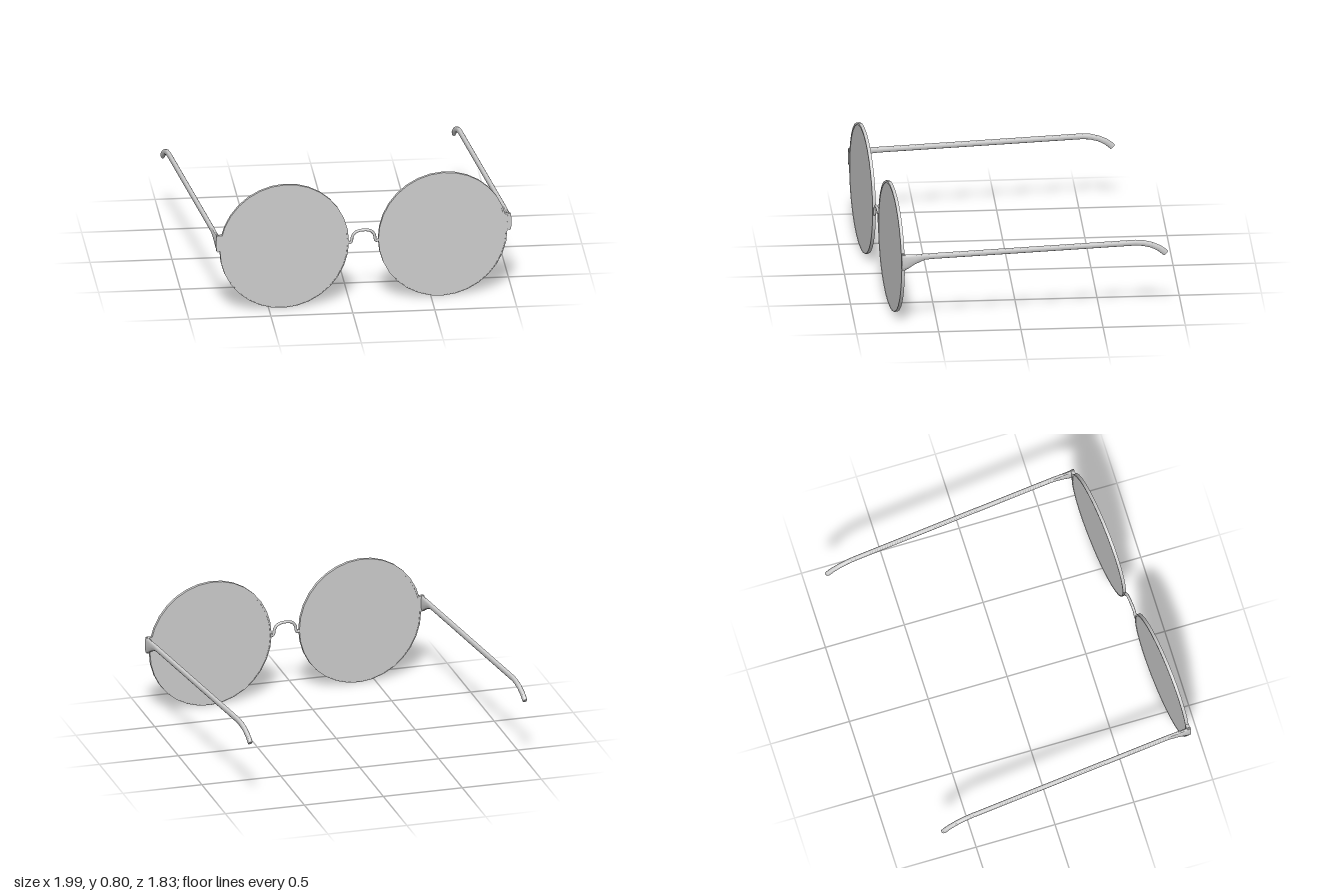
import * as THREE from 'three';
import { toCreasedNormals } from 'three/addons/utils/BufferGeometryUtils.js';

const material = new THREE.MeshStandardMaterial({ color: 0xcccccc });

function add(parent, name, geometry, x = 0, y = 0, z = 0) {
  const mesh = new THREE.Mesh(geometry, material);
  mesh.name = name;
  mesh.position.set(x, y, z);
  parent.add(mesh);
  return mesh;
}

// Flat plate of a given thickness, centred on z = 0
function plate(shape, depth) {
  const g = new THREE.ExtrudeGeometry(shape, { depth, bevelEnabled: false, curveSegments: 16 });
  g.translate(0, 0, -depth / 2);
  return toCreasedNormals(g, 0.6);
}

function circle(Type, radius, y) {
  return new Type().absarc(0, y, radius, 0, Math.PI * 2, false);
}

// Rounded sections swept backwards: each is [z, y, half height, half width, tilt]
function loft(sections, sides = 12) {
  const pos = [], index = [];
  for (const [z, y, h, w, tilt] of sections) {
    for (let i = 0; i < sides; i++) {
      const a = (i / sides) * Math.PI * 2;
      const c = Math.cos(a), s = Math.sin(a);
      const u = Math.sign(c) * Math.abs(c) ** 0.75 * w;
      const v = Math.sign(s) * Math.abs(s) ** 0.75 * h;
      pos.push(u, y + v * Math.cos(tilt), z - v * Math.sin(tilt));
    }
  }
  const last = (sections.length - 1) * sides;
  for (let r = 0; r < sections.length - 1; r++) {
    for (let i = 0; i < sides; i++) {
      const a = r * sides + i, b = r * sides + (i + 1) % sides;
      index.push(a, b, a + sides, b, b + sides, a + sides);
    }
  }
  for (let i = 1; i < sides - 1; i++) {
    index.push(0, i, i + 1);
    index.push(last, last + i + 1, last + i);
  }
  // the sections run towards -z, so the winding is turned outwards here
  for (let i = 0; i < index.length; i += 3) {
    const viaSide = i < (sections.length - 1) * sides * 6;
    if (viaSide) [index[i + 1], index[i + 2]] = [index[i + 2], index[i + 1]];
  }
  const g = new THREE.BufferGeometry();
  g.setAttribute('position', new THREE.Float32BufferAttribute(pos, 3));
  g.setIndex(index);
  return toCreasedNormals(g, 0.9);
}

export function createModel() {
  const model = new THREE.Group();
  model.name = 'spectacles';
  const frame = new THREE.Group();
  frame.name = 'frame';
  frame.position.set(0.084, 0, 0.808);
  frame.rotation.y = 0.106;
  model.add(frame);

  // Rim: thicker along the top, thinning towards the bottom
  const rimShape = circle(THREE.Shape, 0.4, 0);
  rimShape.holes.push(circle(THREE.Path, 0.392, -0.006));
  const rim = plate(rimShape, 0.02);
  const lens = plate(circle(THREE.Shape, 0.392, -0.006), 0.014);

  // Temple: flared at the hinge, straight arm, drooping ear tip
  const temple = loft([
    [0.012, 0.448, 0.055, 0.013, 0],
    [-0.02, 0.452, 0.049, 0.013, 0],
    [-0.07, 0.466, 0.032, 0.013, 0],
    [-0.13, 0.479, 0.019, 0.013, 0],
    [-0.17, 0.48, 0.0175, 0.013, 0],
    [-1.43, 0.48, 0.0175, 0.013, 0],
    [-1.48, 0.474, 0.0175, 0.013, 0.2],
    [-1.53, 0.459, 0.0175, 0.013, 0.38],
    [-1.575, 0.436, 0.0185, 0.013, 0.58],
    [-1.605, 0.412, 0.0195, 0.013, 0.72],
    [-1.617, 0.4, 0.0185, 0.012, 0.8],
  ]);

  for (const [side, s] of [['left', 1], ['right', -1]]) {
    add(frame, side + 'Rim', rim, s * 0.4915, 0.4, 0);
    add(frame, side + 'Lens', lens, s * 0.4915, 0.4, 0);
    add(frame, side + 'EndPiece', new THREE.BoxGeometry(0.038, 0.1, 0.022), s * 0.893, 0.45, 0);
    add(frame, side + 'Temple', temple, s * 0.903, 0, 0);
  }

  // Bridge: small arch with hooked feet on the rims
  const half = [[0.094, 0.395], [0.083, 0.387], [0.074, 0.396], [0.069, 0.425], [0.052, 0.45], [0.026, 0.461]];
  const points = [
    ...half.map(([x, y]) => new THREE.Vector3(-x, y, 0)),
    new THREE.Vector3(0, 0.463, 0),
    ...half.slice().reverse().map(([x, y]) => new THREE.Vector3(x, y, 0)),
  ];
  add(frame, 'bridge', new THREE.TubeGeometry(new THREE.CatmullRomCurve3(points), 40, 0.009, 8));

  return model;
}
